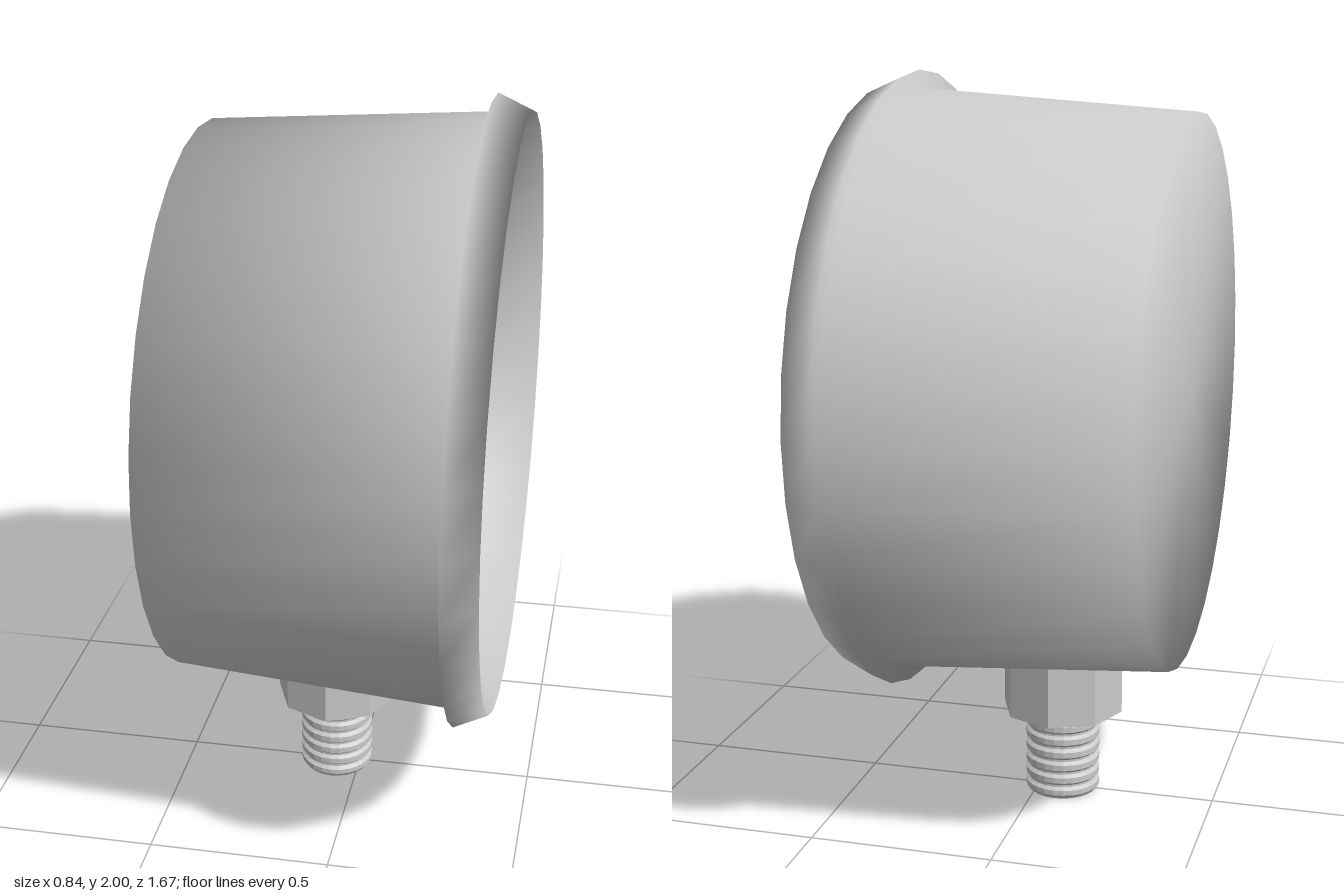
import * as THREE from 'three';

const SEGMENTS = 32;
const AXIS_Y = 1.163; // height of the dial axis
const STEM_X = -0.068;

export function createModel() {
  const model = new THREE.Group();
  model.name = 'pressureGauge';
  const metal = new THREE.MeshStandardMaterial({ color: 0xcacaca });
  metal.name = 'grey metal';

  const add = (name, geometry) => {
    const mesh = new THREE.Mesh(geometry, metal);
    mesh.name = name;
    model.add(mesh);
    return mesh;
  };
  const lathe = (profile, segments = SEGMENTS) =>
    new THREE.LatheGeometry(profile.map(([r, h]) => new THREE.Vector2(r, h)), segments);
  // Turned part whose axis runs along x
  const turned = (name, profile) => {
    const geometry = lathe(profile);
    geometry.rotateZ(-Math.PI / 2);
    add(name, geometry).position.y = AXIS_Y;
  };

  // Tapered case: closed back, wall, step out to the lip, and funnel down to the dial
  turned('caseAndBezel', [
    [0, -0.42], [0.738, -0.42], [0.79, 0.33],
    [0.837, 0.33], [0.797, 0.42], [0.735, 0.245],
  ]);

  // Recessed blank dial
  turned('dial', [[0.735, 0.245], [0, 0.245]]);

  // Eight-sided nut under the case
  const nut = new THREE.CylinderGeometry(0.17, 0.17, 0.19, 8).toNonIndexed();
  nut.computeVertexNormals();
  add('nut', nut).position.set(STEM_X, 0.335, 0);

  // Hollow threaded stem
  const thread = [[0, 0.16], [0.086, 0.16], [0.086, 0], [0.096, 0], [0.104, 0.012]];
  const ridges = 6, pitch = 0.038;
  for (let i = 0; i < ridges; i++) {
    const y = 0.014 + i * pitch;
    thread.push([0.104, y + 0.012], [0.095, y + 0.02], [0.095, y + 0.026], [0.104, y + 0.034]);
  }
  thread.push([0.104, 0.25]);
  const stem = lathe(thread, 24).toNonIndexed();
  stem.computeVertexNormals();
  add('threadedStem', stem).position.x = STEM_X;

  return model;
}
